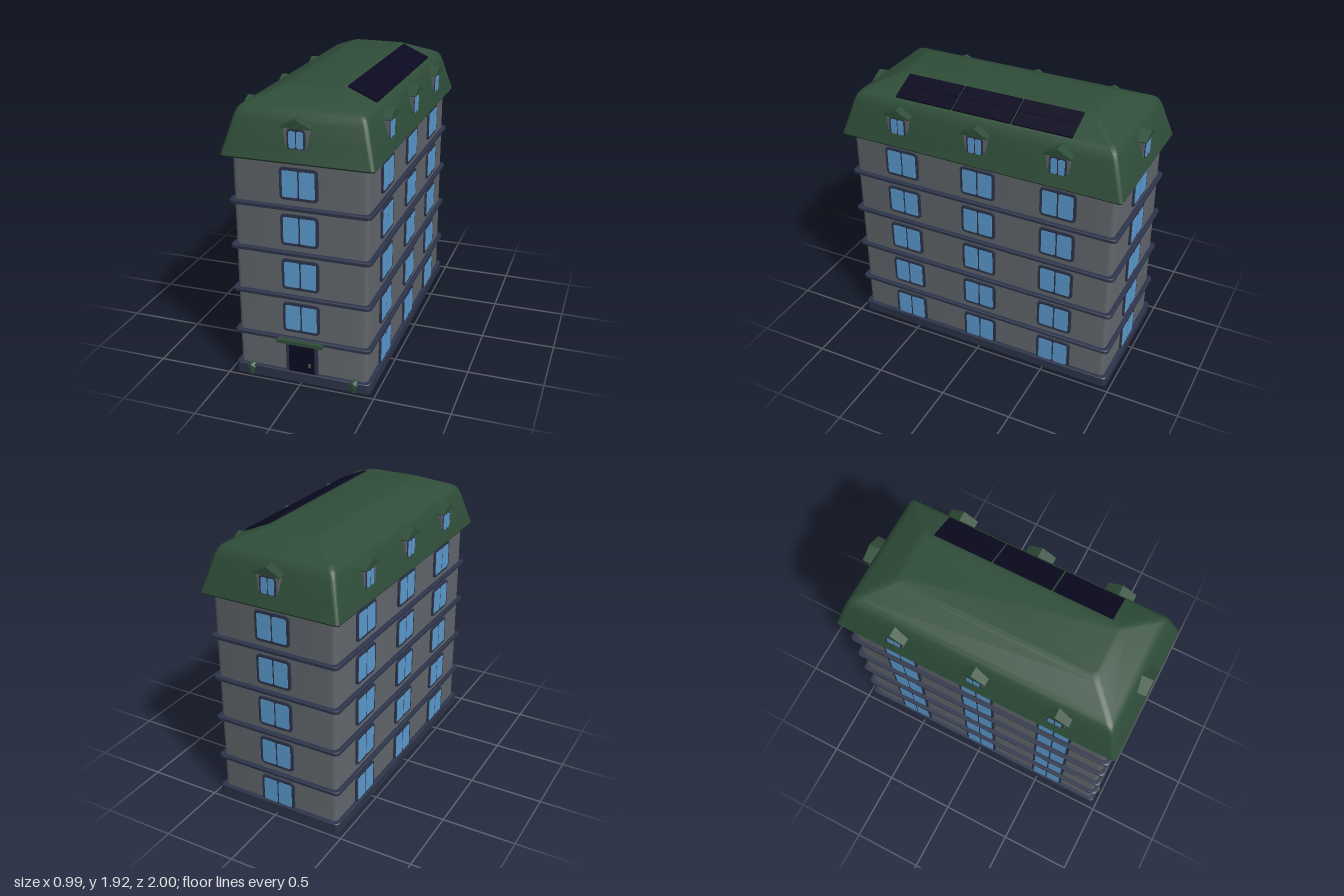
import * as THREE from 'three';
import { toCreasedNormals } from 'three/addons/utils/BufferGeometryUtils.js';

const material = (name, color) => {
  const m = new THREE.MeshStandardMaterial({ color });
  m.name = name;
  return m;
};

// Solid lofted through rounded rectangles; each ring is [y, halfX, halfZ, cornerRadius]
function loft(rings, steps = 4) {
  const pos = [], idx = [], n = 4 * (steps + 1);
  for (const [y, hx, hz, r] of rings) {
    for (let c = 0; c < 4; c++) {
      const sx = c === 0 || c === 3 ? 1 : -1, sz = c < 2 ? 1 : -1;
      for (let i = 0; i <= steps; i++) {
        const a = (c + i / steps) * Math.PI / 2;
        pos.push(sx * (hx - r) + r * Math.cos(a), y, sz * (hz - r) + r * Math.sin(a));
      }
    }
  }
  const last = (rings.length - 1) * n, bottom = rings.length * n, top = bottom + 1;
  pos.push(0, rings[0][0], 0, 0, rings[rings.length - 1][0], 0);
  for (let i = 0; i < n; i++) {
    const j = (i + 1) % n;
    for (let k = 0; k < last; k += n) {
      idx.push(k + i, k + n + i, k + j, k + j, k + n + i, k + n + j);
    }
    idx.push(bottom, i, j, top, last + j, last + i);
  }
  const g = new THREE.BufferGeometry();
  g.setAttribute('position', new THREE.Float32BufferAttribute(pos, 3));
  g.setIndex(idx);
  return toCreasedNormals(g, 0.45);
}

// Upright plate with rounded corners, centred on x and y, from z = 0 to depth
function plate(w, h, r, depth) {
  const s = new THREE.Shape(), x = w / 2, y = h / 2;
  s.moveTo(-x + r, -y);
  s.lineTo(x - r, -y); s.quadraticCurveTo(x, -y, x, -y + r);
  s.lineTo(x, y - r); s.quadraticCurveTo(x, y, x - r, y);
  s.lineTo(-x + r, y); s.quadraticCurveTo(-x, y, -x, y - r);
  s.lineTo(-x, -y + r); s.quadraticCurveTo(-x, -y, -x + r, -y);
  return new THREE.ExtrudeGeometry(s, { depth, bevelEnabled: false, curveSegments: 4 });
}

// Front outline pushed back along -z from zFront
function prism(points, zFront, depth) {
  const s = new THREE.Shape(points.map(([x, y]) => new THREE.Vector2(x, y)));
  return new THREE.ExtrudeGeometry(s, { depth, bevelEnabled: false }).translate(0, 0, zFront - depth);
}

export function createModel() {
  const wall = material('wall grey', 0x62676c);
  const trim = material('trim navy', 0x2d344a);
  const green = material('roof green', 0x2f4d39);
  const glass = material('window blue', 0x5c9bd0);
  const dark = material('door and panel dark', 0x0b0a20);
  const brass = material('handle olive', 0x4a4d3a);

  const model = new THREE.Group();
  model.name = 'apartmentBuilding';
  const add = (parent, name, geo, mat, x = 0, y = 0, z = 0) => {
    const m = new THREE.Mesh(geo, mat);
    m.name = name;
    m.position.set(x, y, z);
    parent.add(m);
    return m;
  };

  // Walls, plinth and floor bands
  const HX = 0.438, HZ = 0.942;
  add(model, 'walls', loft([[0.002, HX, HZ, 0.03], [1.53, HX, HZ, 0.03]]), wall);
  add(model, 'plinth', loft([[0, 0.465, 0.97, 0.03], [0.065, 0.465, 0.97, 0.03], [0.07, 0.46, 0.965, 0.03]]), trim);
  const band = loft([[-0.014, 0.458, 0.963, 0.03], [-0.009, 0.465, 0.97, 0.03],
    [0.009, 0.465, 0.97, 0.03], [0.014, 0.458, 0.963, 0.03]]);
  for (let i = 1; i <= 4; i++) add(model, 'floorBand', band, trim, 0, 0.303 * i + 0.001);

  // Mansard roof with rounded shoulders
  add(model, 'roof', loft([
    [1.512, 0.485, 0.992, 0.02], [1.524, 0.493, 1.0, 0.025], [1.64, 0.461, 0.966, 0.03],
    [1.755, 0.43, 0.931, 0.03], [1.795, 0.414, 0.914, 0.03], [1.815, 0.398, 0.898, 0.03],
    [1.832, 0.367, 0.868, 0.03], [1.902, 0.21, 0.712, 0.03], [1.912, 0.185, 0.69, 0.03],
    [1.915, 0.165, 0.67, 0.03],
  ]), green);

  // Windows and dormers, each built facing +z
  const frameGeo = plate(0.248, 0.208, 0.03, 0.02);
  const paneGeo = plate(0.1, 0.17, 0.012, 0.008);
  const makeWindow = () => {
    const g = new THREE.Group();
    g.name = 'window';
    add(g, 'windowFrame', frameGeo, trim, 0, 0, -0.008);
    for (const s of [-1, 1]) add(g, 'windowPane', paneGeo, glass, s * 0.0555, 0, 0.007);
    return g;
  };

  const bodyGeo = prism([[-0.068, 1.595], [0.068, 1.595], [0.083, 1.737], [-0.083, 1.737]], -0.027, 0.1);
  const gableGeo = prism([[-0.097, 1.733], [0.097, 1.733], [0.097, 1.74], [0, 1.79], [-0.097, 1.74]], -0.006, 0.11);
  const dormerFrame = plate(0.118, 0.13, 0.03, 0.008);
  const dormerPane = plate(0.043, 0.106, 0.014, 0.006);
  const makeDormer = () => {
    const g = new THREE.Group();
    g.name = 'dormer';
    add(g, 'dormerBody', bodyGeo, wall);
    add(g, 'dormerRoof', gableGeo, green);
    add(g, 'dormerFrame', dormerFrame, trim, 0, 1.662, -0.031);
    for (const s of [-1, 1]) add(g, 'dormerPane', dormerPane, glass, s * 0.025, 1.66, -0.026);
    return g;
  };

  // Four sides: turn, wall distance, eave distance, columns
  const sides = [
    [0, HZ, 1.0, [0]],
    [Math.PI, HZ, 1.0, [0]],
    [Math.PI / 2, HX, 0.493, [-0.567, 0, 0.567]],
    [-Math.PI / 2, HX, 0.493, [-0.567, 0, 0.567]],
  ];
  sides.forEach(([turn, wallDist, eaveDist, columns], k) => {
    const side = new THREE.Group();
    side.name = ['frontOpenings', 'backOpenings', 'leftOpenings', 'rightOpenings'][k];
    side.rotation.y = turn;
    for (const x of columns) {
      for (let floor = k === 0 ? 1 : 0; floor < 5; floor++) {
        const w = makeWindow();
        w.position.set(x, 0.158 + 0.303 * floor, wallDist);
        side.add(w);
      }
      const d = makeDormer();
      d.position.set(x, 0, eaveDist);
      side.add(d);
    }
    model.add(side);
  });

  // Entrance door with canopy
  const entrance = new THREE.Group();
  entrance.name = 'entrance';
  add(entrance, 'doorFrame', plate(0.216, 0.23, 0.02, 0.02), trim, 0, 0.16, HZ - 0.005);
  add(entrance, 'door', plate(0.176, 0.21, 0.008, 0.008), dark, 0, 0.156, HZ + 0.01);
  add(entrance, 'doorHandle', new THREE.BoxGeometry(0.016, 0.026, 0.014), brass, 0.056, 0.132, HZ + 0.022);
  add(entrance, 'canopy', new THREE.BoxGeometry(0.31, 0.024, 0.07), green, 0, 0.3, 0.965);
  model.add(entrance);

  // Small shrubs beside the entrance
  const potGeo = new THREE.CylinderGeometry(0.029, 0.024, 0.04, 8);
  const shrubGeo = new THREE.IcosahedronGeometry(0.036, 0);
  for (const s of [-1, 1]) {
    add(model, 'shrubPot', potGeo, green, s * 0.353, 0.02, 0.956);
    add(model, 'shrub', shrubGeo, green, s * 0.353, 0.052, 0.954);
  }

  // Solar panels on the left roof slope
  const solar = new THREE.Group();
  solar.name = 'solarPanels';
  solar.position.set(0.2935, 1.871, -0.002);
  solar.rotation.z = -Math.atan2(0.07, 0.157);
  const cellGeo = new THREE.BoxGeometry(0.1, 0.012, 0.404);
  for (const z of [-0.416, 0, 0.416]) {
    for (const s of [-1, 1]) add(solar, 'solarPanel', cellGeo, dark, s * 0.0515, 0, z);
  }
  model.add(solar);

  return model;
}
